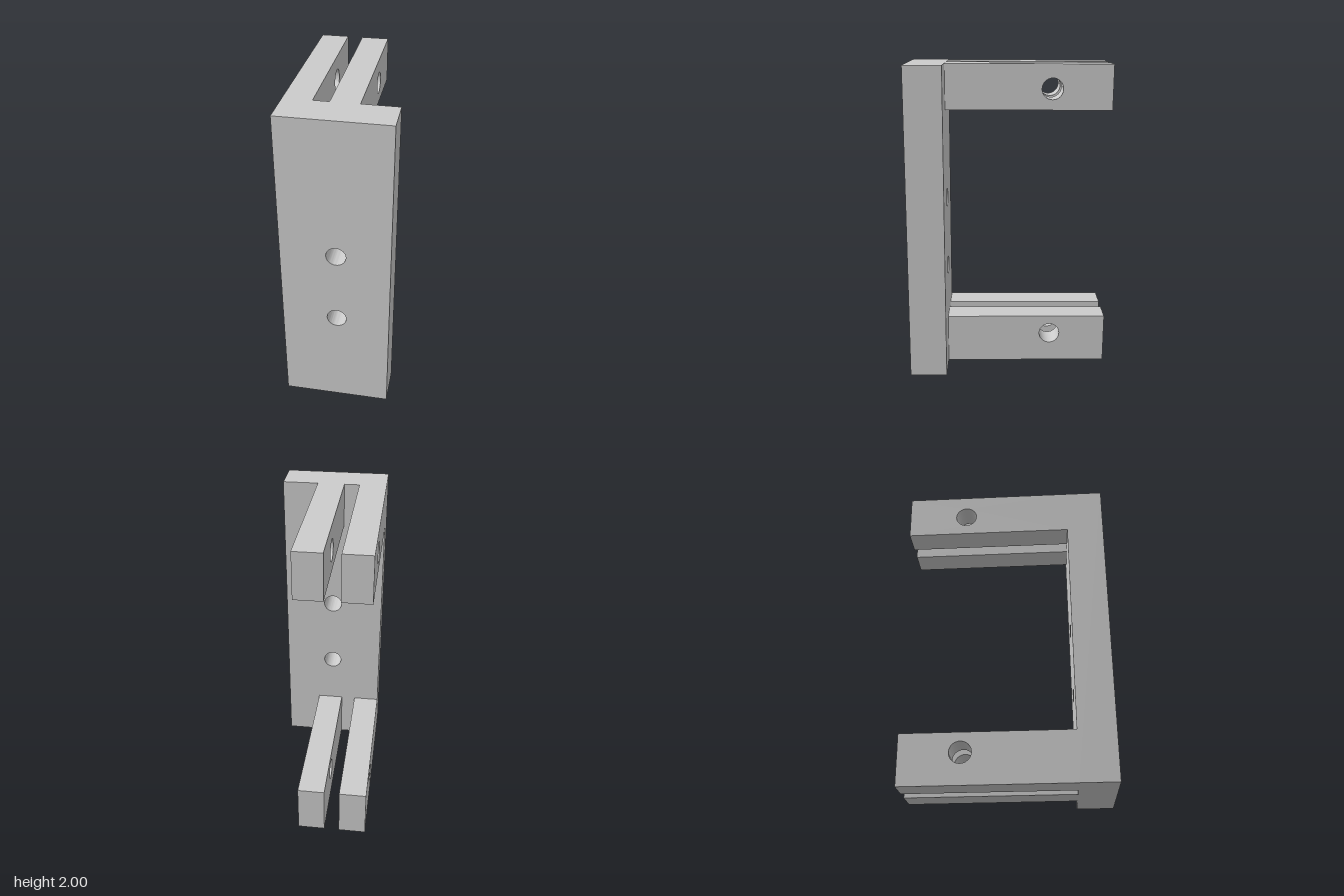
import * as THREE from 'three';
import { toCreasedNormals } from 'three/addons/utils/BufferGeometryUtils.js';

const material = new THREE.MeshStandardMaterial({ color: 0xcccccc });

// Rectangular slab with round through-holes, extruded along +z
function drilledSlab(x0, x1, y0, y1, depth, holes, radius) {
  const shape = new THREE.Shape();
  shape.moveTo(x0, y0).lineTo(x1, y0).lineTo(x1, y1).lineTo(x0, y1).closePath();
  for (const [x, y] of holes) {
    shape.holes.push(new THREE.Path().absarc(x, y, radius, 0, Math.PI * 2, true));
  }
  const geometry = new THREE.ExtrudeGeometry(shape, { depth, bevelEnabled: false, curveSegments: 40 });
  return toCreasedNormals(geometry, 0.6);
}

export function createModel() {
  const group = new THREE.Group();
  group.name = 'clevisBracket';

  const add = (name, geometry) => {
    const mesh = new THREE.Mesh(geometry, material);
    mesh.name = name;
    group.add(mesh);
  };

  const bottom = 0.004, top = 1.996;
  const plateBack = 0.415, plateFront = 0.65, armEnd = -0.637;

  // Upright mounting plate with two screw holes
  const plate = drilledSlab(-0.333, 0.333, bottom, top, plateFront - plateBack,
    [[0.007, 0.657], [0.007, 1.124]], 0.06);
  add('mountingPlate', plate.translate(0, 0, plateBack));

  // Two forked arms, each a pair of prongs sharing a pin hole
  const arms = [
    { name: 'lowerArm', y0: bottom, y1: 0.322, hole: [-0.267, 0.2] },
    { name: 'upperArm', y0: 1.71, y1: top, hole: [-0.258, 1.842] },
  ];
  const prongs = [
    { name: 'RightProng', x0: -0.333, x1: -0.16 },
    { name: 'LeftProng', x0: -0.064, x1: 0.108 },
  ];
  for (const arm of arms) {
    for (const prong of prongs) {
      const geometry = drilledSlab(armEnd, plateBack, arm.y0, arm.y1, prong.x1 - prong.x0, [arm.hole], 0.067);
      geometry.rotateY(-Math.PI / 2).translate(prong.x1, 0, 0);
      add(arm.name + prong.name, geometry);
    }
  }

  // The whole bracket leans very slightly backwards
  group.rotation.x = -0.0065;
  const model = new THREE.Group();
  model.add(group);
  return model;
}
